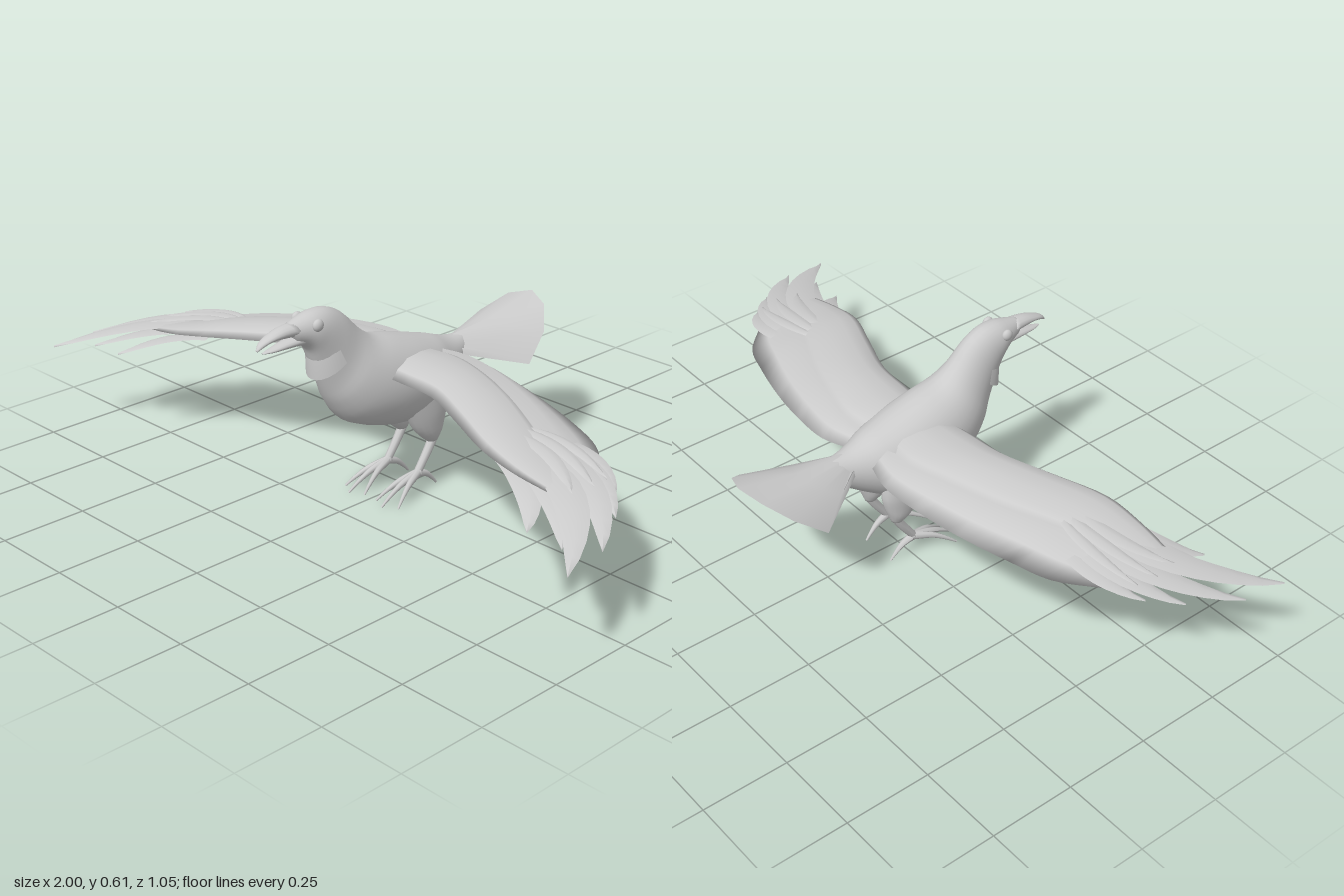
import * as THREE from 'three';

const V = (x, y, z) => new THREE.Vector3(x, y, z);
const grey = new THREE.MeshStandardMaterial({ color: 0xcccccc });
const thin = new THREE.MeshStandardMaterial({ color: 0xcccccc, side: THREE.DoubleSide });

// Spline through matching points of each ring, giving extra rings in between
function refine(rings, steps) {
  const count = (rings.length - 1) * steps;
  const curves = rings[0].map((_, j) => new THREE.CatmullRomCurve3(rings.map(r => r[j])));
  return Array.from({ length: count + 1 }, (_, i) => curves.map(c => c.getPoint(i / count)));
}

// Skin over cross-sections; closed lofts are capped and wound outwards
function loft(name, rings, closed = true) {
  const n = rings[0].length, pts = rings.flat(), idx = [];
  for (let i = 0; i < rings.length - 1; i++) {
    for (let j = 0; j < (closed ? n : n - 1); j++) {
      const k = (j + 1) % n, a = i * n + j, b = i * n + k;
      idx.push(a, b, a + n, b, b + n, a + n);
    }
  }
  if (closed) {
    [0, rings.length - 1].forEach((r, end) => {
      const mid = V(0, 0, 0);
      rings[r].forEach(p => mid.addScaledVector(p, 1 / n));
      const c = pts.push(mid) - 1;
      for (let j = 0; j < n; j++) {
        const a = r * n + j, b = r * n + (j + 1) % n;
        if (end) idx.push(c, a, b); else idx.push(c, b, a);
      }
    });
    let volume = 0;
    for (let i = 0; i < idx.length; i += 3) {
      volume += pts[idx[i]].dot(V(0, 0, 0).crossVectors(pts[idx[i + 1]], pts[idx[i + 2]]));
    }
    if (volume < 0) idx.reverse();
  }
  const geo = new THREE.BufferGeometry().setFromPoints(pts);
  geo.setIndex(idx);
  geo.computeVertexNormals();
  return named(name, geo, closed ? grey : thin);
}

function named(name, geo, mat = grey) {
  const mesh = new THREE.Mesh(geo, mat);
  mesh.name = name;
  return mesh;
}

// Ellipse standing between a top and a bottom point of the middle plane
function oval([tz, ty, bz, by, hw], x = 0, n = 24) {
  return Array.from({ length: n }, (_, j) => {
    const a = j / n * Math.PI * 2, c = Math.cos(a);
    return V(x + hw * Math.sin(a), (ty + by) / 2 + (ty - by) / 2 * c, (tz + bz) / 2 + (tz - bz) / 2 * c);
  });
}

// Round limb along a curve, radius running from r0 to r1
function limb(name, points, r0, r1) {
  const curve = new THREE.CatmullRomCurve3(points.map(p => V(...p)));
  const steps = 10, sides = 8;
  const geo = new THREE.TubeGeometry(curve, steps, 1, sides), pos = geo.attributes.position;
  for (let i = 0; i < pos.count; i++) {
    const t = Math.floor(i / (sides + 1)) / steps, c = curve.getPointAt(t);
    const p = V(0, 0, 0).fromBufferAttribute(pos, i).sub(c).multiplyScalar(r0 + (r1 - r0) * t).add(c);
    pos.setXYZ(i, p.x, p.y, p.z);
  }
  return named(name, geo);
}

// Curved blade, widest near the middle, with a raised quill line
function feather(base, mid, tip, width) {
  const curve = new THREE.QuadraticBezierCurve3(V(...base), V(...mid), V(...tip));
  const rings = Array.from({ length: 11 }, (_, i) => {
    const t = i / 10, c = curve.getPoint(t), d = curve.getTangent(t);
    const w = width / 2 * Math.pow(Math.max(0, Math.sin(Math.PI * (0.12 + 0.88 * t))), 0.75);
    const side = V(-d.z, 0, d.x).normalize();
    return [-1, 0, 1].map(s => c.clone().addScaledVector(side, s * w).add(V(0, s ? -0.004 : 0.002, 0)));
  });
  return loft('flightFeather', rings, false);
}

function mirrored(group) {
  const copy = new THREE.Group();
  copy.name = group.name.replace('left', 'right');
  group.children.forEach(m => {
    const geo = m.geometry.clone().scale(-1, 1, 1);
    geo.index.array.reverse();
    geo.computeVertexNormals();
    copy.add(named(m.name, geo, m.material));
  });
  return copy;
}

function wing() {
  const g = new THREE.Group();
  g.name = 'leftWing';
  // x, leading z, rear of arm z, trailing z, arm y, arm thickness, trailing y
  const stations = [
    [0.04, 0.14, -0.05, -0.13, 0.408, 0.026, 0.375],
    [0.14, 0.15, -0.06, -0.155, 0.41, 0.024, 0.365],
    [0.26, 0.16, -0.03, -0.148, 0.41, 0.024, 0.36],
    [0.40, 0.215, 0.02, -0.12, 0.4, 0.021, 0.35],
    [0.55, 0.275, 0.095, -0.075, 0.384, 0.016, 0.34],
    [0.66, 0.285, 0.15, -0.03, 0.362, 0.011, 0.328],
    [0.75, 0.28, 0.18, 0.055, 0.345, 0.006, 0.318],
    [0.82, 0.27, 0.22, 0.13, 0.333, 0.002, 0.31],
  ];
  const rings = stations.map(([x, zl, zr, zt, y, t, yt]) => {
    const arm = f => zl + (zr - zl) * f;
    const web = f => zr - 0.012 + (zt - zr + 0.012) * f;
    return [
      [zl, y - t * 0.5], [arm(0.12), y + t * 0.35], [arm(0.35), y + t], [arm(0.65), y + t],
      [arm(0.9), y + t * 0.7], [zr, y + t * 0.3], [web(0), y - t * 0.35], [web(0.3), y + t * 0.1],
      [web(0.65), (y + yt) / 2 + 0.004], [zt, yt], [web(0.6), (y + yt) / 2 - 0.008],
      [web(0), y - t * 0.8], [arm(0.6), y - t], [arm(0.2), y - t * 0.95],
    ].map(([z, h]) => V(x, h, z));
  });
  g.add(loft('wingArm', refine(rings, 4)));
  // Primaries fanned from the hand, then short coverts on top
  [
    [[0.56, 0.362, 0.08], [0.72, 0.36, 0.02], [0.85, 0.31, 0.12], 0.06],
    [[0.56, 0.366, 0.11], [0.76, 0.362, 0.06], [0.915, 0.298, 0.2], 0.07],
    [[0.57, 0.37, 0.13], [0.82, 0.362, 0.11], [0.99, 0.288, 0.34], 0.08],
    [[0.57, 0.37, 0.17], [0.84, 0.36, 0.19], [1.0, 0.277, 0.475], 0.09],
    [[0.58, 0.364, 0.2], [0.79, 0.348, 0.24], [0.91, 0.282, 0.39], 0.075],
    [[0.56, 0.36, 0.235], [0.72, 0.343, 0.25], [0.8, 0.285, 0.388], 0.07],
    [[0.54, 0.388, 0.11], [0.67, 0.39, 0.07], [0.82, 0.34, 0.12], 0.035],
    [[0.54, 0.392, 0.13], [0.68, 0.39, 0.11], [0.83, 0.342, 0.18], 0.04],
    [[0.55, 0.392, 0.16], [0.69, 0.385, 0.15], [0.82, 0.342, 0.25], 0.045],
  ].forEach(f => g.add(feather(...f)));
  return g;
}

function leg() {
  const g = new THREE.Group();
  g.name = 'leftLeg';
  const thigh = [
    [0.09, 0.32, -0.09, 0.33, 0.035], [0.05, 0.245, -0.1, 0.25, 0.036],
    [0.02, 0.195, -0.09, 0.205, 0.031], [-0.015, 0.16, -0.08, 0.18, 0.025],
    [-0.035, 0.145, -0.068, 0.15, 0.013],
  ];
  // Thigh rings lie nearly flat, running front to back
  g.add(loft('thigh', refine(thigh.map(r => oval(r, 0.06, 16)), 3)));
  g.add(limb('shin', [[0.06, 0.17, -0.062], [0.06, 0.125, -0.035], [0.06, 0.06, 0.012]], 0.014, 0.011));
  const toes = [[0.024, 0.135], [0.066, 0.155], [0.106, 0.13], [0.056, -0.07]];
  toes.forEach(([x, z]) => {
    const at = (f, y) => [0.06 + (x - 0.06) * f, y, 0.008 + (z - 0.008) * f];
    g.add(limb('toe', [at(-0.05, 0.065), at(0.45, 0.05), at(0.8, 0.026), at(1, 0.008)], 0.013, 0.003));
  });
  return g;
}

export function createModel() {
  const bird = new THREE.Group();
  bird.name = 'bird';

  // Head, neck and trunk: top z, top y, bottom z, bottom y, half width
  const trunk = [
    [0.43, 0.598, 0.4, 0.543, 0.024], [0.38, 0.612, 0.375, 0.53, 0.038],
    [0.34, 0.62, 0.357, 0.51, 0.047], [0.29, 0.616, 0.345, 0.48, 0.051],
    [0.24, 0.59, 0.325, 0.43, 0.056], [0.19, 0.54, 0.305, 0.38, 0.066],
    [0.14, 0.503, 0.285, 0.34, 0.086], [0.07, 0.485, 0.24, 0.28, 0.103],
    [0, 0.465, 0.14, 0.235, 0.112], [-0.06, 0.447, 0.03, 0.212, 0.106],
    [-0.1, 0.435, -0.06, 0.225, 0.092], [-0.14, 0.42, -0.12, 0.255, 0.07],
    [-0.18, 0.41, -0.2, 0.312, 0.046], [-0.25, 0.406, -0.245, 0.355, 0.022],
  ];
  bird.add(loft('body', refine(trunk.map(r => oval(r)), 3)));

  // Open beak
  const upper = [
    [0.41, 0.602, 0.39, 0.562, 0.029], [0.45, 0.598, 0.44, 0.567, 0.024],
    [0.49, 0.585, 0.485, 0.568, 0.018], [0.515, 0.573, 0.51, 0.56, 0.012], [0.529, 0.556, 0.525, 0.552, 0.004],
  ];
  const lower = [
    [0.385, 0.565, 0.38, 0.535, 0.027], [0.44, 0.557, 0.44, 0.537, 0.02],
    [0.48, 0.549, 0.48, 0.538, 0.013], [0.507, 0.544, 0.507, 0.541, 0.004],
  ];
  bird.add(loft('upperBeak', refine(upper.map(r => oval(r, 0, 14)), 3)));
  bird.add(loft('lowerBeak', refine(lower.map(r => oval(r, 0, 14)), 3)));

  // Throat hackle hanging free of the breast
  const arc = (hw, z, dz, y, dy) => Array.from({ length: 13 }, (_, j) => {
    const a = (j / 12 - 0.5) * Math.PI, c = Math.cos(a);
    return V(hw * Math.sin(a), y - dy * c, z + dz * c);
  });
  bird.add(loft('throatHackle', [
    arc(0.045, 0.3, 0.045, 0.535, 0.03), arc(0.056, 0.288, 0.058, 0.505, 0.035), arc(0.064, 0.275, 0.068, 0.47, 0.045),
  ], false));

  // Tail fan, folded down from a central ridge
  const edge = [[0.04, 0.365, -0.17], [0.15, 0.315, -0.35], [0.125, 0.385, -0.44], [0.07, 0.437, -0.5], [0, 0.457, -0.525]];
  const rim = edge.concat(edge.slice(0, 4).reverse().map(([x, y, z]) => [-x, y, z])).map(p => V(...p));
  const root = rim.map((_, i) => V(0.03 * (1 - i / 4), 0.408 - 0.03 * Math.abs(1 - i / 4), -0.17));
  const middle = rim.map((p, i) => p.clone().lerp(root[i], 0.5).add(V(0, 0.012 - 0.026 * (1 - Math.abs(1 - i / 4)), 0)));
  bird.add(loft('tailFan', [root, middle, rim], false));

  // Eyes
  const eyes = new THREE.Group();
  eyes.name = 'leftEye';
  eyes.add(named('eye', new THREE.SphereGeometry(0.017, 16, 12).scale(0.7, 1, 1).translate(0.041, 0.59, 0.353)));

  // Paired parts
  [eyes, wing(), leg()].forEach(g => bird.add(g, mirrored(g)));
  return bird;
}
